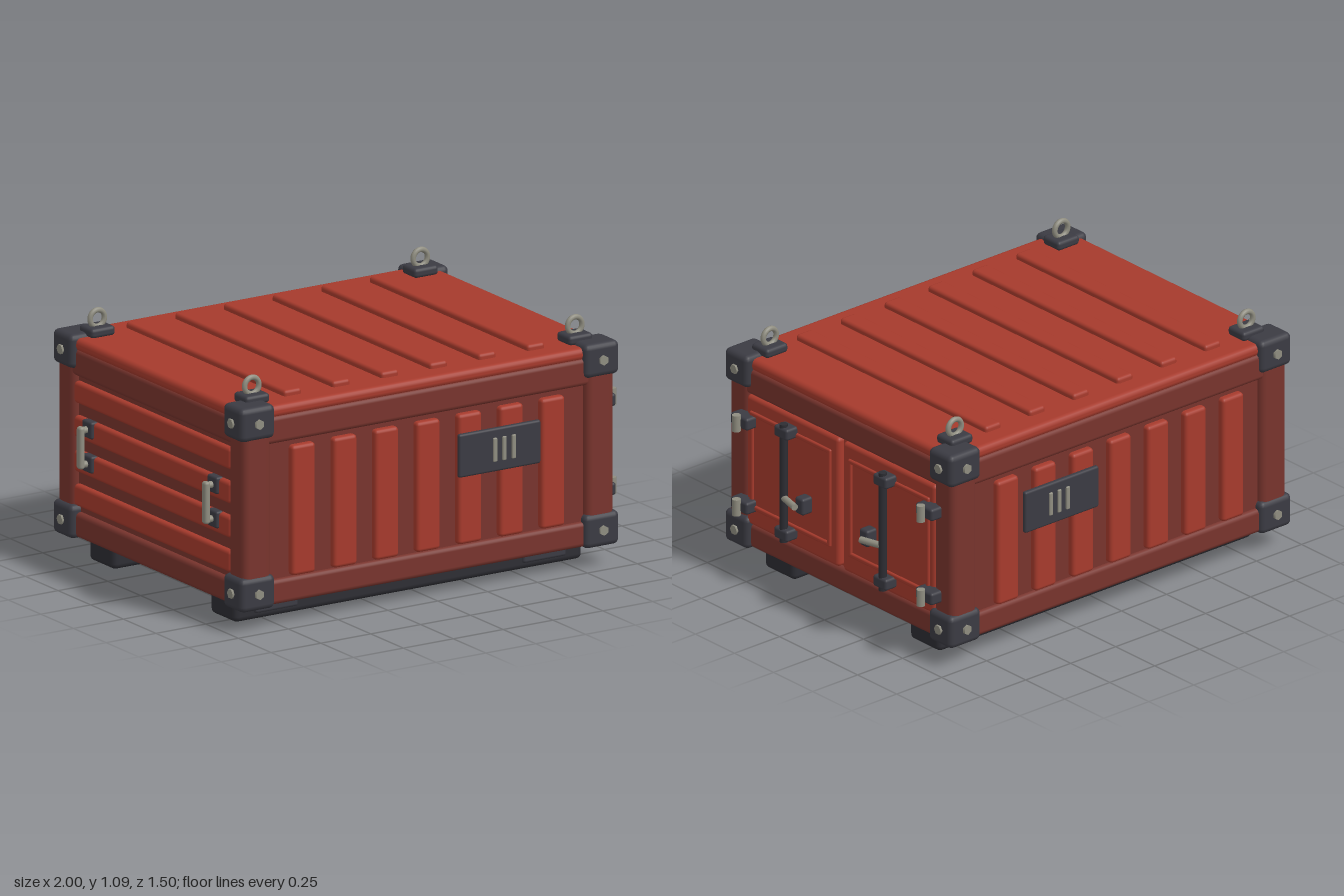
import * as THREE from 'three';
import { RoundedBoxGeometry } from 'three/addons/geometries/RoundedBoxGeometry.js';

const mat = (name, color) => {
  const m = new THREE.MeshStandardMaterial({ color });
  m.name = name;
  return m;
};

export function createModel() {
  const red = mat('red paint', 0xa63a2c);
  const darkRed = mat('dark red frame', 0x78342d);
  const charcoal = mat('charcoal fittings', 0x3b3b43);
  const black = mat('black steel', 0x2d2d33);
  const silver = mat('worn silver', 0x8f8d80);
  const model = new THREE.Group();
  const CX = -0.02; // centre of the body along x
  const ends = [-1, 1];

  const add = (name, geo, material, x, y, z, parent = model) => {
    const mesh = new THREE.Mesh(geo, material);
    mesh.name = name;
    mesh.position.set(x, y, z);
    parent.add(mesh);
    return mesh;
  };
  // Rounded box given by its minimum and maximum along each axis
  const box = (name, material, [x0, x1], [y0, y1], [z0, z1], r = 0.01, parent = model) => {
    const w = x1 - x0, h = y1 - y0, d = z1 - z0;
    const geo = new RoundedBoxGeometry(w, h, d, 2, Math.min(r, w * 0.45, h * 0.45, d * 0.45));
    return add(name, geo, material, (x0 + x1) / 2, (y0 + y1) / 2, (z0 + z1) / 2, parent);
  };
  const around = (c, size) => [c - size / 2, c + size / 2];
  // Cylinder between two points
  const rod = (name, material, a, b, r, sides = 12, parent = model) => {
    const p = new THREE.Vector3(...a), q = new THREE.Vector3(...b);
    const mid = p.clone().add(q).multiplyScalar(0.5);
    const mesh = add(name, new THREE.CylinderGeometry(r, r, p.distanceTo(q), sides), material, mid.x, mid.y, mid.z, parent);
    mesh.quaternion.setFromUnitVectors(new THREE.Vector3(0, 1, 0), q.sub(p).normalize());
    return mesh;
  };

  // Body and roof
  box('body', red, [-0.91, 0.88], [0.105, 0.94], [-0.68, 0.68]);
  box('roof', red, [-0.945, 0.9], [0.915, 0.97], [-0.705, 0.705], 0.024);
  for (let i = 0; i < 6; i++)
    box('roofRib', red, around(-0.633 + i * 0.244, 0.088), [0.95, 0.995], [-0.61, 0.61], 0.014);

  // Frame: corner posts and rails
  for (const sx of ends) for (const sz of ends)
    box('cornerPost', darkRed, around(CX + sx * 0.86, 0.14), [0.1, 0.93], around(sz * 0.655, 0.125), 0.03);
  for (const y of [[0.1, 0.21], [0.805, 0.925]]) {
    for (const s of ends) {
      box('sideRail', darkRed, [-0.93, 0.89], y, around(s * 0.66, 0.1), 0.02);
      box('endRail', darkRed, around(CX + s * 0.875, 0.1), y, [-0.68, 0.68], 0.02);
    }
  }

  // Long sides: recessed panel, vertical ribs and a plate with three bars
  for (const s of ends) {
    box('sidePanel', darkRed, [-0.81, 0.77], [0.2, 0.81], around(s * 0.675, 0.03), 0.005);
    for (let i = 0; i < 7; i++)
      box('sideRib', red, around(-0.65 + i * 0.2085, 0.118), [0.215, 0.785], around(s * 0.698, 0.046), 0.016);
    box('sidePlate', charcoal, [0.115, 0.525], [0.515, 0.705], around(s * 0.728, 0.024), 0.01);
    for (let i = 0; i < 3; i++)
      box('plateBar', silver, around(0.292 + i * 0.047, 0.02), [0.56, 0.665], around(s * 0.742, 0.012), 0.005);
  }

  // Left-hand end wall: horizontal slats and two carrying handles
  box('endPanel', darkRed, [-0.92, -0.9], [0.2, 0.82], [-0.61, 0.61], 0.005);
  for (let i = 0; i < 4; i++)
    box('endSlat', red, [-0.945, -0.9], around(0.285 + i * 0.15, 0.095), [-0.6, 0.6], 0.016);
  for (const s of ends) {
    const z = s * 0.48;
    for (const y of [0.45, 0.6]) {
      box('handleMount', charcoal, [-0.958, -0.92], around(y, 0.075), around(z, 0.075), 0.01);
      rod('handleArm', silver, [-0.94, y, z], [-0.99, y, z], 0.015);
    }
    box('handleGrip', silver, [-1, -0.972], [0.432, 0.618], around(z, 0.036), 0.012);
  }

  // Corner castings with hexagonal bolts, and lifting eyes on top
  for (const sx of ends) for (const sz of ends) {
    const x = CX + sx * 0.863, z = sz * 0.653;
    for (const y of [0.167, 0.912]) {
      box('cornerBlock', charcoal, around(x, 0.174), around(y, 0.148), around(z, 0.15), 0.025);
      rod('sideBolt', silver, [x, y, sz * 0.71], [x, y, sz * 0.739], 0.022, 6);
      rod('endBolt', silver, [CX + sx * 0.93, y, z], [CX + sx * 0.96, y, z], 0.022, 6);
    }
    const ex = CX + sx * 0.81, ez = sz * 0.592;
    box('eyeBase', charcoal, around(ex, 0.12), [0.968, 1.01], around(ez, 0.105), 0.015);
    add('liftingEye', new THREE.TorusGeometry(0.036, 0.012, 8, 24), silver, ex, 1.04, ez);
  }

  // Skids with end pads
  for (const s of ends) {
    box('skid', black, [-0.895, 0.85], [0, 0.115], around(s * 0.465, 0.195), 0.024);
    for (const e of ends)
      box('skidPad', charcoal, around(CX + e * 0.672, 0.215), [0.03, 0.115], around(s * 0.47, 0.212), 0.012);
  }

  // Double doors
  for (const s of ends) {
    const door = new THREE.Group();
    door.name = s > 0 ? 'frontDoor' : 'rearDoor';
    model.add(door);
    const zs = (a, b) => (s > 0 ? [a, b] : [-b, -a]);
    const part = (name, m, x, y, z, r) => box(name, m, x, y, zs(...z), r, door);

    part('doorLeaf', red, [0.86, 0.912], [0.209, 0.807], [0.013, 0.603], 0.018);
    // Raised border around the inset field
    for (const y of [[0.29, 0.312], [0.721, 0.743]])
      part('panelBorder', red, [0.9, 0.922], y, [0.056, 0.574], 0.008);
    for (const z of [[0.056, 0.078], [0.552, 0.574]])
      part('panelBorder', red, [0.9, 0.922], [0.29, 0.743], z, 0.008);

    // Locking bar, brackets and lever
    const bz = s * 0.317;
    rod('lockBar', black, [0.952, 0.237, bz], [0.952, 0.783, bz], 0.018, 12, door);
    for (const y of [0.275, 0.745])
      part('barBracket', charcoal, [0.905, 0.972], around(y, 0.052), [0.274, 0.36], 0.012);
    part('leverCatch', charcoal, [0.905, 0.965], around(0.442, 0.077), [0.18, 0.233], 0.012);
    rod('lever', silver, [0.953, 0.442, bz], [0.982, 0.442, s * 0.21], 0.015, 10, door);

    // Hinges
    for (const y of [0.308, 0.698]) {
      part('hingeLeaf', charcoal, [0.895, 0.965], around(y, 0.056), [0.538, 0.645], 0.012);
      rod('hingePin', silver, [0.977, y - 0.037, s * 0.59], [0.977, y + 0.037, s * 0.59], 0.019, 12, door);
    }
  }
  return model;
}
